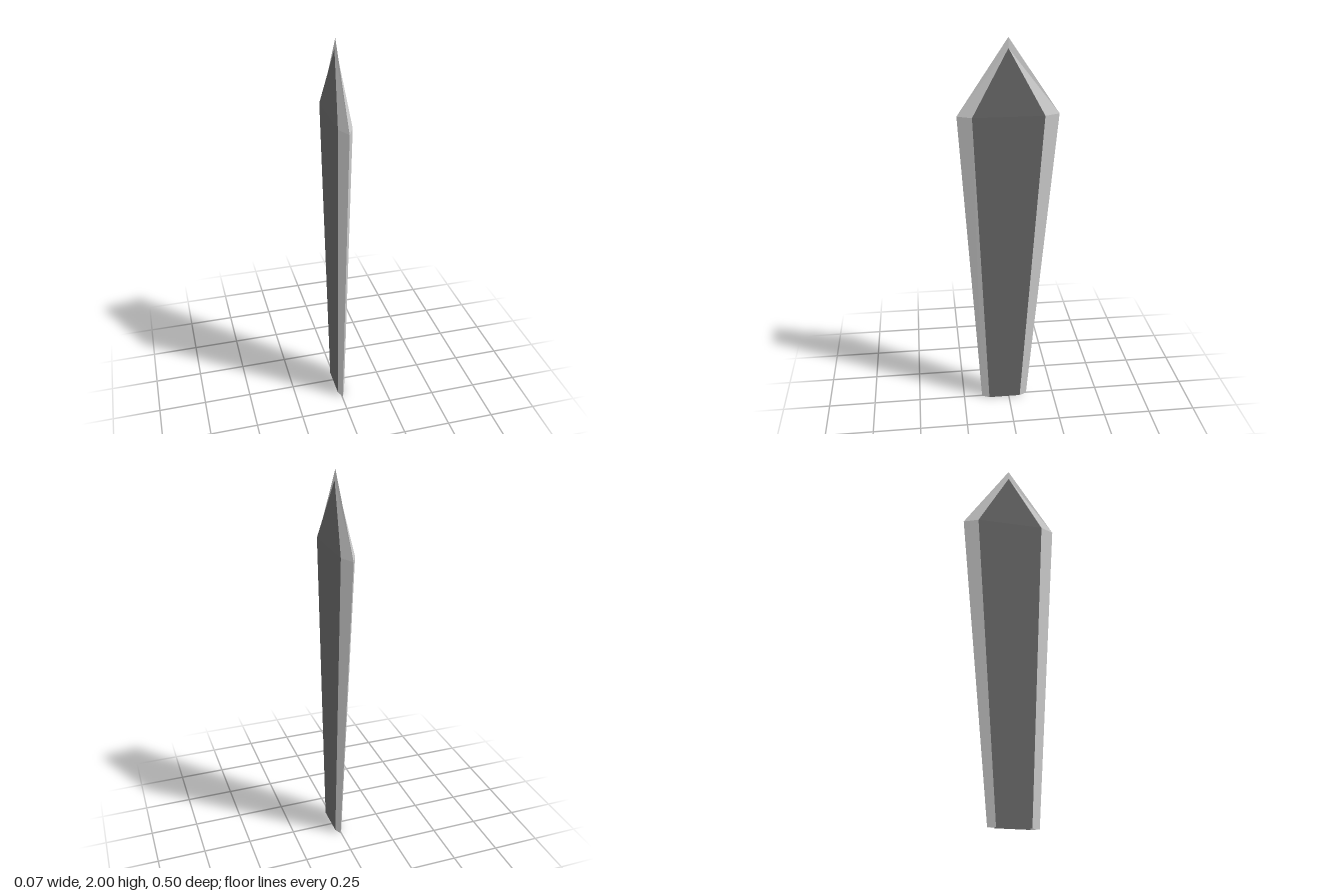
import * as THREE from 'three';

// Cross-sections up the blade: height, edge z (front/back), flat z (front/back),
// half thickness, sideways shift of the centre, and height of the flat's corners
const sections = [
  { y: 0, flatY: 0, edge: [0.15, -0.10], flat: [0.11, -0.062], half: 0.018, shift: 0.004 },
  { y: 1.63, flatY: 1.63, edge: [0.25, -0.25], flat: [0.178, -0.175], half: 0.035, shift: 0 },
  { y: 2, flatY: 1.95, edge: [0, 0], flat: [0, 0], half: 0.004, shift: 0 },
];

const edgePoint = (s, end) => [s.y === 2 ? 0 : s.shift, s.y, s.edge[end]];
const flatPoint = (s, end, side) => [s.shift + side * s.half, s.flatY, s.flat[end]];

// Mesh from four-cornered panels; flip reverses the winding of mirrored panels
function panelMesh(name, panels, color) {
  const points = [];
  for (const { corners: [a, b, c, d], flip } of panels) {
    points.push(...(flip ? [a, c, b, a, d, c] : [a, b, c, a, c, d]).flat());
  }
  const geometry = new THREE.BufferGeometry();
  geometry.setAttribute('position', new THREE.Float32BufferAttribute(points, 3));
  geometry.computeVertexNormals();
  const material = new THREE.MeshStandardMaterial({ color, flatShading: true, side: THREE.DoubleSide });
  const mesh = new THREE.Mesh(geometry, material);
  mesh.name = name;
  return mesh;
}

export function createModel() {
  const blade = new THREE.Group();
  blade.name = 'blade';

  for (const side of [1, -1]) {
    const sideName = side > 0 ? 'left' : 'right';
    const flats = [];
    const bevels = [[], []];
    for (let i = 0; i < sections.length - 1; i++) {
      const low = sections[i], high = sections[i + 1];
      // Dark flat between the bevels
      flats.push({
        corners: [flatPoint(low, 0, side), flatPoint(low, 1, side), flatPoint(high, 1, side), flatPoint(high, 0, side)],
        flip: side < 0,
      });
      // Sharpened bevels, front and back
      for (const end of [0, 1]) {
        bevels[end].push({
          corners: [edgePoint(low, end), flatPoint(low, end, side), flatPoint(high, end, side), edgePoint(high, end)],
          flip: (side < 0) !== (end === 1),
        });
      }
    }
    blade.add(panelMesh(`${sideName}Flat`, flats, 0x666666));
    blade.add(panelMesh(`${sideName}FrontBevel`, bevels[0], 0xcccccc));
    blade.add(panelMesh(`${sideName}BackBevel`, bevels[1], 0xcccccc));
  }
  return blade;
}
